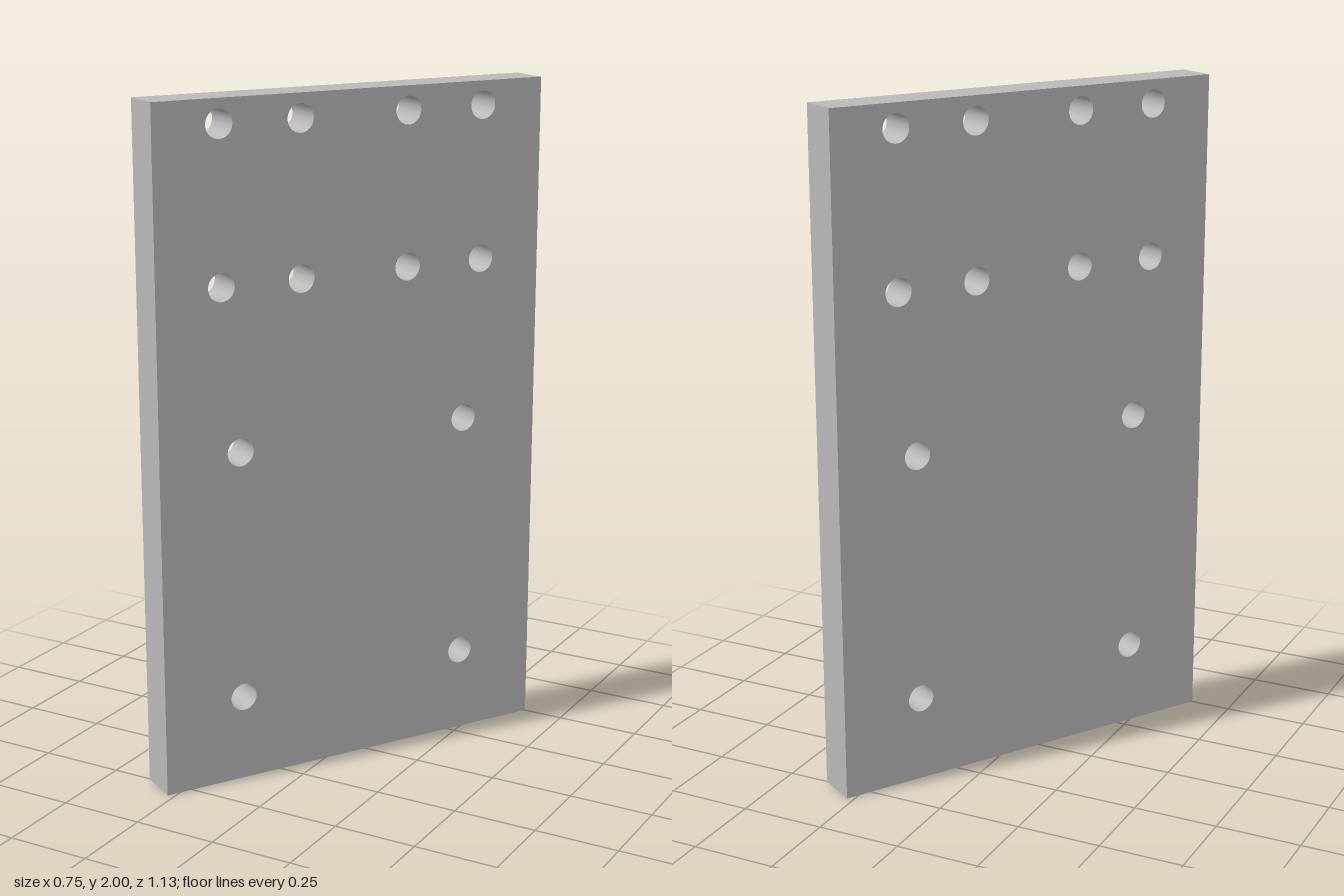
import * as THREE from 'three';

const WIDTH = 1.25, HEIGHT = 2, THICKNESS = 0.125, HOLE_RADIUS = 0.041;

export function createModel() {
  const group = new THREE.Group();
  group.name = 'mountingPlate';
  const grey = new THREE.MeshStandardMaterial({ color: 0xb8b8b8 });
  grey.name = 'plain grey';

  // Rectangular outline
  const w = WIDTH / 2;
  const outline = new THREE.Shape([
    new THREE.Vector2(-w, 0), new THREE.Vector2(w, 0),
    new THREE.Vector2(w, HEIGHT), new THREE.Vector2(-w, HEIGHT),
  ]);

  // Rows of through holes, mirrored about the centre line
  const rows = [
    { y: 1.93, offsets: [0.425, 0.174] },
    { y: 1.48, offsets: [0.425, 0.174] },
    { y: 1.0, offsets: [0.373] },
    { y: 0.255, offsets: [0.373] },
  ];
  for (const { y, offsets } of rows) {
    for (const x of offsets) {
      for (const side of [-1, 1]) {
        const hole = new THREE.Path();
        hole.absarc(side * x, y, HOLE_RADIUS, 0, Math.PI * 2, true);
        outline.holes.push(hole);
      }
    }
  }

  // Plate, turned about the vertical axis
  const geometry = new THREE.ExtrudeGeometry(outline, {
    depth: THICKNESS, bevelEnabled: false, curveSegments: 32,
  });
  geometry.translate(0, 0, -THICKNESS / 2);
  const plate = new THREE.Mesh(geometry, grey);
  plate.name = 'drilledPlate';
  plate.rotation.y = 1.026;
  group.add(plate);
  return group;
}
